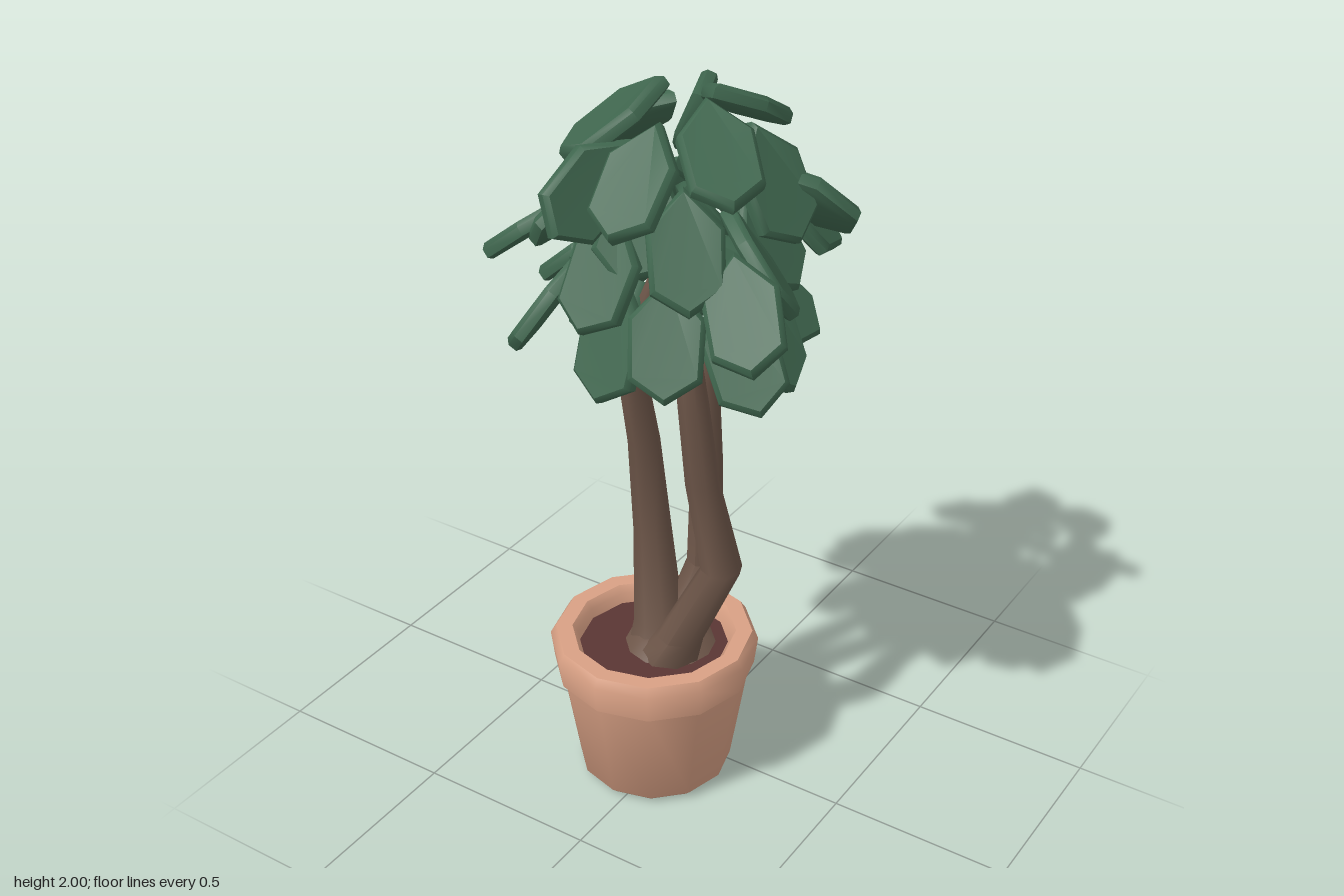
import * as THREE from 'three';
import { toCreasedNormals } from 'three/addons/utils/BufferGeometryUtils.js';

const mat = (name, color) => {
  const m = new THREE.MeshStandardMaterial({ color });
  m.name = name;
  return m;
};

// Lathe from [radius, height] pairs
function lathe(pairs) {
  const pts = pairs.map(([r, y]) => new THREE.Vector2(r, y));
  return toCreasedNormals(new THREE.LatheGeometry(pts, 12), 0.85);
}

// Tapered, kinked stem: each ring of a cylinder is moved to a point [x, y, z, radius]
function stem(path) {
  const rows = path.length - 1;
  const geo = new THREE.CylinderGeometry(1, 1, 1, 8, rows, true);
  const p = geo.attributes.position;
  for (let i = 0; i < p.count; i++) {
    const [x, y, z, r] = path[Math.round((p.getY(i) + 0.5) * rows)];
    p.setXYZ(i, x + p.getX(i) * r, y, z + p.getZ(i) * r);
  }
  return toCreasedNormals(geo, 0.9);
}

// Thick six-sided leaf, acute at the stalk (-y), obtuse at the tip (+y), folded and bent down
function leafGeometry() {
  const outline = [[0, -0.14], [0.08, -0.05], [0.076, 0.085], [0, 0.135], [-0.076, 0.085], [-0.08, -0.05]];
  const shape = new THREE.Shape(outline.map(([x, y]) => new THREE.Vector2(x, y)));
  const geo = new THREE.ExtrudeGeometry(shape, {
    depth: 0.024, bevelEnabled: true, bevelSegments: 1, bevelThickness: 0.01, bevelSize: 0.011,
  });
  const p = geo.attributes.position;
  for (let i = 0; i < p.count; i++) {
    const x = p.getX(i), y = p.getY(i);
    p.setZ(i, p.getZ(i) - 0.008 - Math.abs(x) * 0.12 - y * y * 0.7);
  }
  return toCreasedNormals(geo, 0.8);
}

// Leaf centres: x, y, z, roll about the leaf's own length, turn from straight outward, extra droop
const CROWN = [
  [0.10, 1.91, -0.12, 0, 0.6, -0.1], [-0.11, 1.91, 0.14, 0.1, 0, 0], [0.20, 1.89, 0.15, 0, -0.2, 0],
  [0.05, 1.83, 0.28, 0, -0.2, 0.2], [-0.20, 1.82, -0.07, 0.4, 0.5, 0], [-0.07, 1.84, -0.15, -1.1, 0.3, 0],
  [0.28, 1.79, 0.03, 0.3, 0, 0.5], [-0.06, 1.79, 0.29, -1.2, 0, 0], [0.30, 1.72, -0.10, -0.5, 0.5, 0.1],
];
const MIDDLE = [
  [-0.33, 1.60, 0.19, 0, -0.45, -0.1], [0.06, 1.56, -0.30, 0, -0.1, 0], [0.23, 1.64, -0.19, 0.3, 0, 0.1],
  [0.34, 1.57, 0.27, 0.3, -0.2, 0], [0.18, 1.68, 0.26, 0, 0, 0.2], [-0.05, 1.57, 0.28, -0.2, 0, 0.3],
  [-0.18, 1.71, 0.20, 0.6, 0, 0], [-0.12, 1.62, -0.17, 0.3, 0, 0.1], [0.28, 1.61, 0.08, -0.7, 0, 0],
  [-0.20, 1.62, 0.03, -0.4, 0, 0], [0.23, 1.62, -0.03, 0.3, 0, 0.3],
];
const SKIRT = [
  [-0.31, 1.47, 0.00, 0, 0.1, -0.2], [-0.24, 1.44, 0.25, 0.4, 0, 0], [-0.02, 1.40, 0.29, 0, 0, 0.3],
  [0.15, 1.46, 0.30, 0, 0, 0.1], [0.30, 1.42, 0.20, 0.4, 0, 0], [0.31, 1.43, 0.08, -0.1, 0, 0.2],
  [0.20, 1.40, -0.14, 0.5, 0, -0.1], [0.03, 1.37, -0.22, -0.4, 0, 0], [-0.08, 1.36, -0.21, 0.2, 0, 0.1],
  [-0.21, 1.40, -0.12, -0.5, 0, -0.1], [-0.10, 1.35, 0.17, 0.1, 0, 0.2],
];

// Point a leaf outward from the crown's axis, turn it, and tip it down
function orientLeaf(mesh, [x, y, z, roll, turn, extra], droop) {
  const up = new THREE.Vector3(0, 1, 0);
  const out = new THREE.Vector3(x, 0, z - 0.03).normalize().applyAxisAngle(up, turn);
  const tip = droop + extra;
  const along = out.clone().multiplyScalar(Math.cos(tip)).addScaledVector(up, -Math.sin(tip));
  const normal = out.clone().multiplyScalar(Math.sin(tip)).addScaledVector(up, Math.cos(tip));
  const side = along.clone().cross(normal);
  mesh.quaternion.setFromRotationMatrix(new THREE.Matrix4().makeBasis(side, along, normal));
  mesh.rotateY(roll);
  mesh.position.set(x, y, z);
}

export function createModel() {
  const model = new THREE.Group();
  model.name = 'pottedTree';
  const clay = mat('terracotta', 0xd8a084);
  const earth = mat('soil', 0x5a3634);
  const bark = mat('bark', 0x6c5548);
  const green = mat('leafGreen', 0x3f664e);

  const add = (parent, name, geo, material) => {
    const mesh = new THREE.Mesh(geo, material);
    mesh.name = name;
    parent.add(mesh);
    return mesh;
  };

  // Pot: tapered body, overhanging thick rim, soil disc
  const pot = new THREE.Group();
  pot.name = 'pot';
  pot.position.set(-0.03, 0, 0.095);
  model.add(pot);
  add(pot, 'potBody', lathe([[0, 0], [0.19, 0], [0.21, 0.02], [0.262, 0.345]]), clay);
  add(pot, 'potRim', lathe([[0.255, 0.335], [0.272, 0.335], [0.282, 0.415], [0.266, 0.44],
    [0.222, 0.44], [0.208, 0.42], [0.2, 0.36]]), clay);
  const soil = add(pot, 'soil', new THREE.CircleGeometry(0.21, 12), earth);
  soil.rotation.x = -Math.PI / 2;
  soil.position.y = 0.39;

  // Low mound where the roots join
  const mound = add(model, 'rootMound', lathe([[0.125, 0], [0.09, 0.03], [0, 0.045]]), bark);
  mound.position.set(0, 0.388, 0.06);

  // Three kinked trunks with flared feet
  const trunks = {
    leftTrunk: [[-0.03, 0.38, 0.06, 0.09], [-0.045, 0.45, 0.05, 0.068], [-0.09, 0.7, 0.01, 0.052],
      [-0.08, 1.0, 0.06, 0.043], [-0.08, 1.2, 0.105, 0.038], [-0.03, 1.42, 0.12, 0.03], [0, 1.55, 0.1, 0.012]],
    backTrunk: [[0.0, 0.38, 0.04, 0.08], [0.01, 0.45, 0.01, 0.06], [0.03, 0.6, -0.065, 0.05],
      [0.075, 0.95, 0.0, 0.043], [0.065, 1.2, 0.0, 0.04], [0.1, 1.45, -0.03, 0.03], [0.1, 1.55, -0.03, 0.012]],
    rightTrunk: [[0.02, 0.38, 0.1, 0.09], [0.06, 0.46, 0.1, 0.065], [0.17, 0.7, 0.075, 0.055],
      [0.125, 0.96, 0.1, 0.045], [0.12, 1.2, 0.135, 0.04], [0.09, 1.45, 0.14, 0.03], [0.08, 1.55, 0.1, 0.012]],
  };
  for (const [name, path] of Object.entries(trunks)) add(model, name, stem(path), bark);

  // Foliage: outer tiers of drooping leaves, plus a fuller inner ring
  const foliage = new THREE.Group();
  foliage.name = 'foliage';
  model.add(foliage);
  const leaf = leafGeometry();
  const inner = [];
  for (let i = 0; i < 10; i++) {
    const a = (i / 10) * Math.PI * 2 + 0.3;
    inner.push([Math.cos(a) * 0.17, 1.5 + (i % 3) * 0.09, 0.03 + Math.sin(a) * 0.16,
      i % 2 ? 0.5 : -0.5, 0, ((i % 3) - 1) * 0.1]);
  }
  const tiers = [['crownLeaf', CROWN, 0.6], ['middleLeaf', MIDDLE, 0.75],
    ['skirtLeaf', SKIRT, 0.9], ['innerLeaf', inner, 0.8]];
  for (const [name, list, droop] of tiers) {
    list.forEach((spot, i) => orientLeaf(add(foliage, name + (i + 1), leaf, green), spot, droop));
  }
  return model;
}
